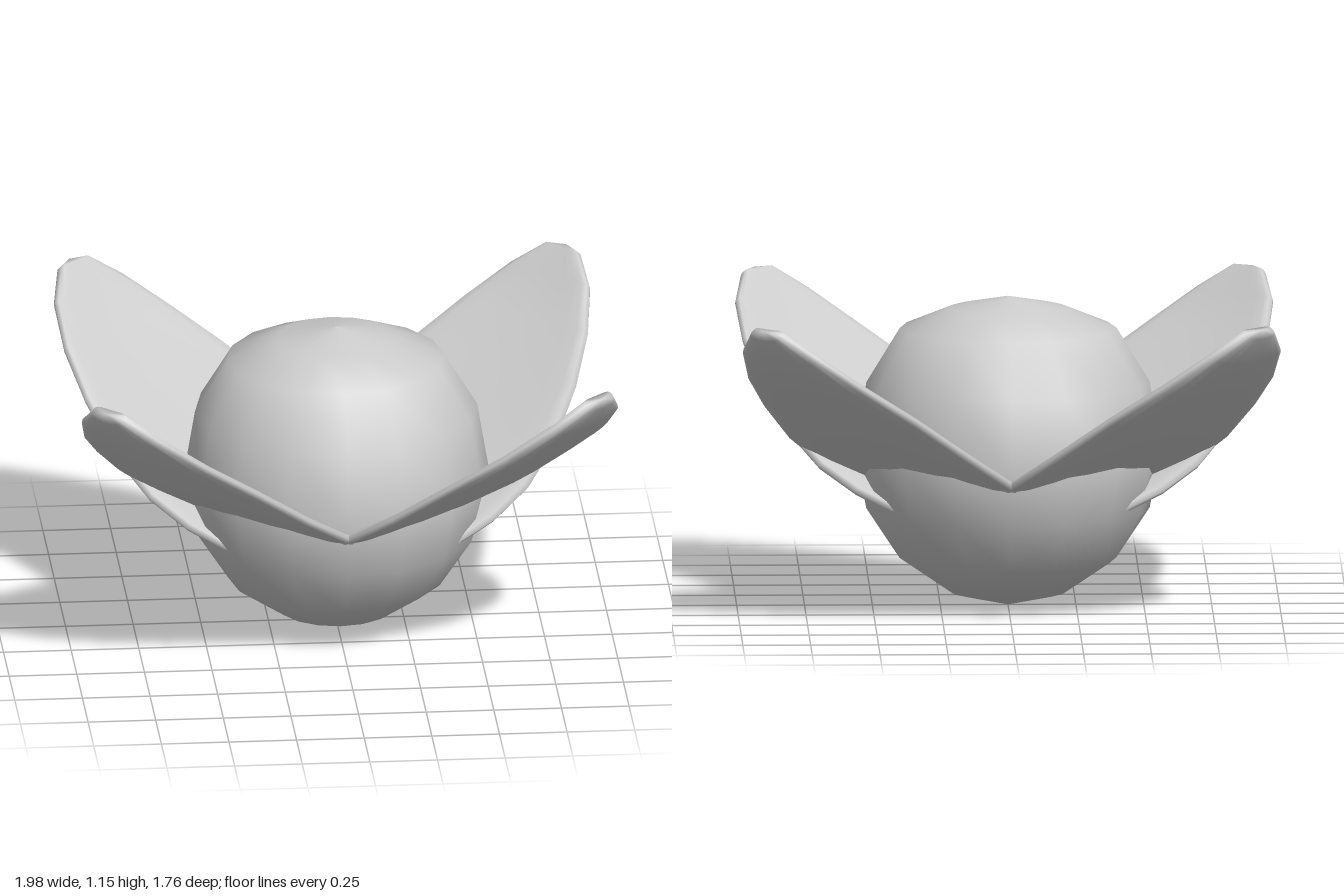
import * as THREE from 'three';

const material = new THREE.MeshStandardMaterial({ color: 0xcccccc });

// Petal stations from base to tip: distance along the diagonal, height, half width
const STATIONS = [
  [-0.12, 0.30, 0.28], [0.07, 0.385, 0.425], [0.25, 0.455, 0.48], [0.42, 0.535, 0.495],
  [0.60, 0.645, 0.47], [0.81, 0.795, 0.396], [0.99, 0.925, 0.30], [1.13, 1.045, 0.19],
  [1.205, 1.13, 0.075],
];
const SIDES = 20;
const HALF_THICKNESS = 0.028;
const SIDE_SHIFT = 0.078; // petals lean slightly towards the x axis

const power = (v, e) => Math.sign(v) * Math.pow(Math.abs(v), e);

// Thin plate with a rounded rim, swept along the stations into one quadrant
function petalGeometry(sx, sz) {
  const pos = [];
  const index = [];
  const push = (d, v, y) => pos.push(sx * (d + v) * Math.SQRT1_2, y, sz * (d - v) * Math.SQRT1_2);
  const tri = (a, b, c) => (sx * sz > 0 ? index.push(a, b, c) : index.push(a, c, b));

  STATIONS.forEach(([d, y, w], i) => {
    const a = STATIONS[Math.max(i - 1, 0)];
    const b = STATIONS[Math.min(i + 1, STATIONS.length - 1)];
    const slope = Math.atan2(b[1] - a[1], b[0] - a[0]);
    for (let j = 0; j < SIDES; j++) {
      const t = (j / SIDES) * Math.PI * 2;
      const u = power(Math.cos(t), 0.7);
      const h = HALF_THICKNESS * power(Math.sin(t), 0.5);
      const dip = 0.025 * (1 - u * u) * Math.min(1, w / 0.3);
      push(d - h * Math.sin(slope), u * w + SIDE_SHIFT, y - dip + h * Math.cos(slope));
    }
  });
  for (let i = 0; i < STATIONS.length - 1; i++) {
    for (let j = 0; j < SIDES; j++) {
      const k = (j + 1) % SIDES;
      const a = i * SIDES + j, b = i * SIDES + k;
      tri(a, b, a + SIDES);
      tri(b, b + SIDES, a + SIDES);
    }
  }
  // Close both ends
  const last = (STATIONS.length - 1) * SIDES;
  const base = pos.length / 3;
  push(STATIONS[0][0], SIDE_SHIFT, STATIONS[0][1]);
  push(1.222, SIDE_SHIFT, 1.14);
  for (let j = 0; j < SIDES; j++) {
    const k = (j + 1) % SIDES;
    tri(base, k, j);
    tri(base + 1, last + j, last + k);
  }
  const g = new THREE.BufferGeometry();
  g.setAttribute('position', new THREE.Float32BufferAttribute(pos, 3));
  g.setIndex(index);
  g.computeVertexNormals();
  return g;
}

export function createModel() {
  const model = new THREE.Group();
  model.name = 'flower';

  // Round centre: spherical below, with a fuller shoulder and shallow crown above
  const profile = [
    [0, 0], [0.216, 0.05], [0.4, 0.175], [0.522, 0.36], [0.565, 0.575],
    [0.522, 0.83], [0.4, 1.03], [0.216, 1.106], [0, 1.15],
  ].map(([r, y]) => new THREE.Vector2(r, y));
  const centre = new THREE.Mesh(new THREE.LatheGeometry(profile, 16), material);
  centre.name = 'centre';
  model.add(centre);

  // Four mirrored petals on the diagonals
  for (const sx of [1, -1]) {
    for (const sz of [1, -1]) {
      const petal = new THREE.Mesh(petalGeometry(sx, sz), material);
      petal.name = `${sz > 0 ? 'front' : 'back'}${sx > 0 ? 'Left' : 'Right'}Petal`;
      model.add(petal);
    }
  }
  return model;
}
